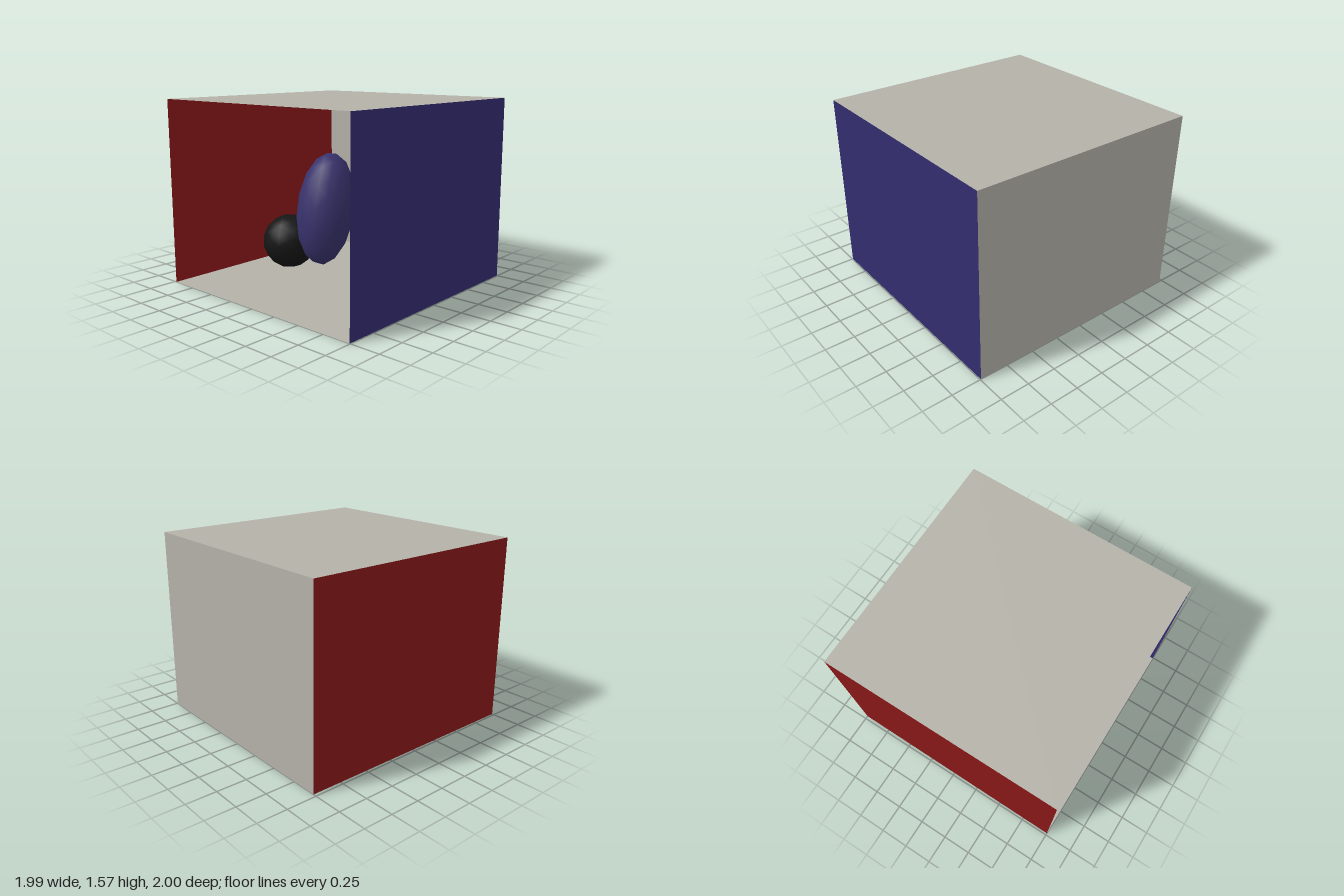
import * as THREE from 'three';

const W = 0.994, H = 1.57, D = 1; // half width, height, half depth

const paint = (color, side = THREE.FrontSide) => new THREE.MeshStandardMaterial({ color, side });

// Thin four-cornered panel; corners run counter-clockwise seen from inside the room
function panel(name, corners, material) {
  const geometry = new THREE.BufferGeometry();
  geometry.setAttribute('position', new THREE.Float32BufferAttribute(corners.flat(), 3));
  geometry.setIndex([0, 1, 2, 0, 2, 3]);
  geometry.computeVertexNormals();
  const mesh = new THREE.Mesh(geometry, material);
  mesh.name = name;
  return mesh;
}

// Coarse, smooth-shaded ball stretched to the given radii
function ball(name, radii, position, tilt, material) {
  const mesh = new THREE.Mesh(new THREE.IcosahedronGeometry(1, 2), material);
  mesh.name = name;
  mesh.scale.set(...radii);
  mesh.position.set(...position);
  mesh.rotation.x = tilt;
  return mesh;
}

export function createModel() {
  const group = new THREE.Group();
  group.name = 'openRoom';

  const plaster = paint(0xb4b1a9, THREE.DoubleSide);
  const red = paint(0x8c1919, THREE.DoubleSide);
  const blue = paint(0x342d70, THREE.DoubleSide);

  // Corners of the room; the red wall leans in slightly at the floor
  const floorFrontRed = [-0.983, 0, D], floorBackRed = [-0.972, 0, -D];
  const floorFrontBlue = [W, 0, D], floorBackBlue = [W, 0, -D];
  const topFrontRed = [-W, H, D], topBackRed = [-W, H, -D];
  const topFrontBlue = [W, H, D], topBackBlue = [W, H, -D];

  // Shell, open at the front
  group.add(
    panel('floor', [floorFrontRed, floorFrontBlue, floorBackBlue, floorBackRed], plaster),
    panel('ceiling', [topFrontRed, topBackRed, topBackBlue, topFrontBlue], plaster),
    panel('backWall', [floorBackRed, floorBackBlue, topBackBlue, topBackRed], plaster),
    panel('redWall', [floorFrontRed, floorBackRed, topBackRed, topFrontRed], red),
    panel('blueWall', [floorBackBlue, floorFrontBlue, topFrontBlue, topBackBlue], blue),
  );

  // Objects inside the room
  group.add(
    ball('blackSphere', [0.245, 0.245, 0.245], [-0.57, 0.25, 0.03], 0, paint(0x151515)),
    ball('blueEllipsoid', [0.243, 0.48, 0.243], [-0.014, 0.65, 0.145], -0.18, paint(0x38326c)),
  );

  return group;
}
